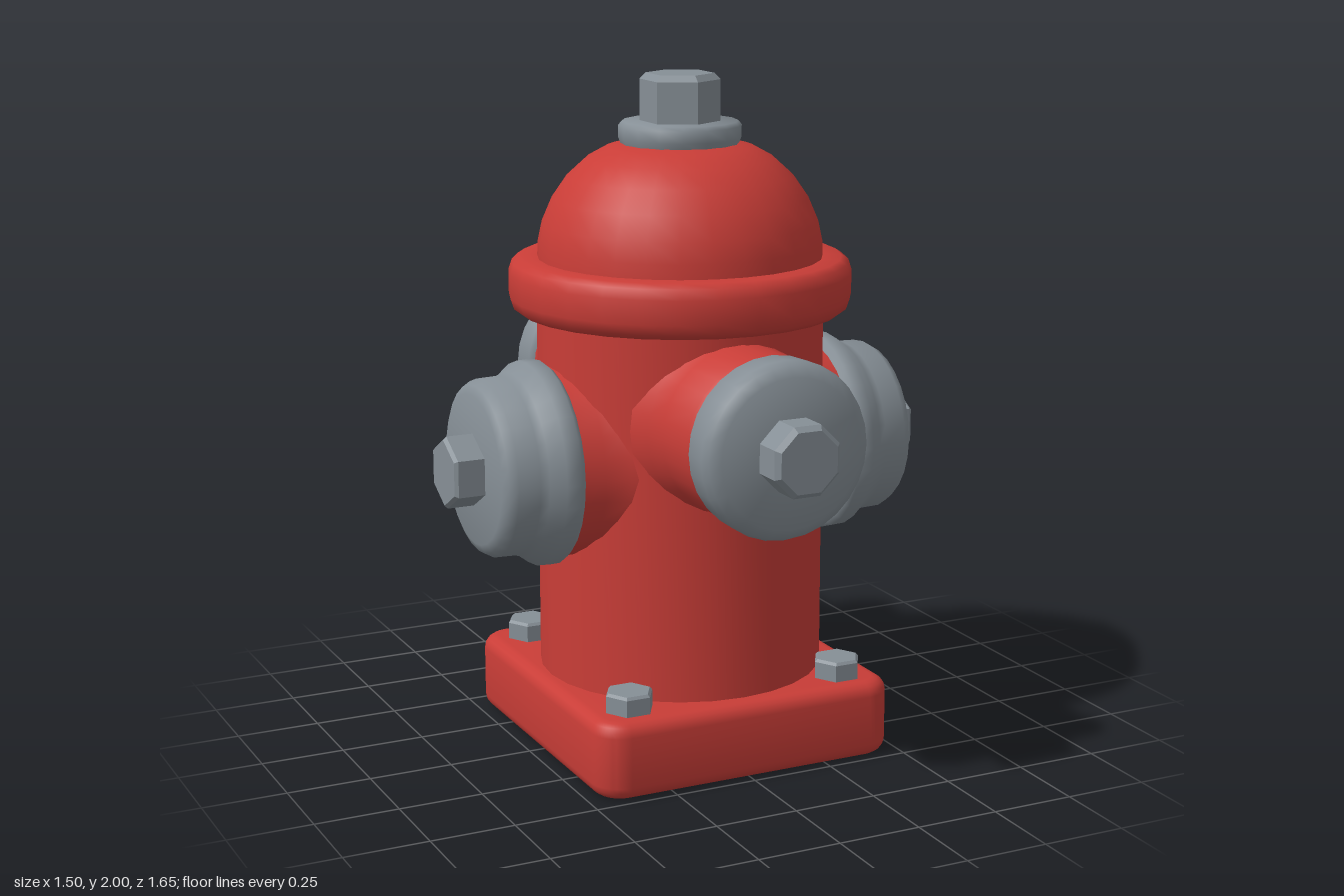
import * as THREE from 'three';
import { toCreasedNormals } from 'three/addons/utils/BufferGeometryUtils.js';

const red = new THREE.MeshStandardMaterial({ color: 0xc93d37 });
red.name = 'red paint';
const grey = new THREE.MeshStandardMaterial({ color: 0x868f96 });
grey.name = 'grey metal';

function mesh(name, geometry, material) {
  const m = new THREE.Mesh(geometry, material);
  m.name = name;
  return m;
}

// Turned part around y from [radius, height] pairs, bottom to top
function turned(name, pairs, material, sides = 28, crease = 0.9) {
  const points = pairs.map(([r, y]) => new THREE.Vector2(r, y));
  const start = sides === 8 ? Math.PI / 8 : 0;
  const g = new THREE.LatheGeometry(points, sides, start);
  return mesh(name, toCreasedNormals(g, crease), material);
}

// Faceted nut with a small chamfer on its outer end
function nut(name, r, y0, y1, sides = 6, bevel = 0.015) {
  return turned(name, [[r, y0], [r, y1 - bevel], [r - bevel, y1], [0, y1]], grey, sides, 0.5);
}

// Outlet pointing to +z, turned about y by angle
function outlet(name, angle, y, shift, parts) {
  const axis = new THREE.Group();
  axis.add(...parts);
  axis.rotation.x = Math.PI / 2;
  axis.position.set(shift, y, 0);
  const group = new THREE.Group();
  group.name = name;
  group.add(axis);
  group.rotation.y = angle;
  return group;
}

function smallOutlet(name, angle) {
  return outlet(name, angle, 1.03, -0.012, [
    turned('outletNeck', [[0.29, 0.3], [0.265, 0.36], [0.247, 0.42], [0.245, 0.57], [0.235, 0.585]], red),
    turned('outletCap', [[0, 0.58], [0.235, 0.58], [0.253, 0.6], [0.255, 0.68], [0.245, 0.705],
      [0.215, 0.725], [0, 0.725]], grey),
    nut('outletNut', 0.108, 0.7, 0.825, 8),
  ]);
}

function largeOutlet(name, angle) {
  return outlet(name, angle, 0.89, 0, [
    turned('outletNeck', [[0.335, 0.24], [0.305, 0.3], [0.285, 0.37], [0.28, 0.45]], red),
    turned('outletCap', [[0, 0.435], [0.29, 0.435], [0.302, 0.45], [0.3, 0.495], [0.27, 0.535],
      [0.262, 0.56], [0.26, 0.625], [0.245, 0.65], [0.22, 0.662], [0, 0.662]], grey),
    nut('outletNut', 0.107, 0.64, 0.752, 6, 0.01),
  ]);
}

// Square base plate with rounded corners and edges
function basePlate() {
  const bevel = 0.04, hx = 0.475 - bevel, hz = 0.49 - bevel, r = 0.05;
  const s = new THREE.Shape();
  s.absarc(hx - r, hz - r, r, 0, Math.PI / 2);
  s.absarc(-hx + r, hz - r, r, Math.PI / 2, Math.PI);
  s.absarc(-hx + r, -hz + r, r, Math.PI, Math.PI * 1.5);
  s.absarc(hx - r, -hz + r, r, Math.PI * 1.5, Math.PI * 2);
  const g = new THREE.ExtrudeGeometry(s, {
    depth: 0.23 - 2 * bevel, bevelSize: bevel, bevelThickness: bevel, bevelSegments: 4, curveSegments: 6,
  });
  g.translate(0, 0, bevel);
  g.rotateX(-Math.PI / 2);
  return mesh('basePlate', toCreasedNormals(g, 0.7), red);
}

export function createModel() {
  const model = new THREE.Group();
  model.name = 'hydrant';

  model.add(basePlate());

  // Barrel, rim and bonnet
  model.add(turned('barrel', [[0.425, 0.2], [0.423, 1.32]], red));
  model.add(turned('rim', [[0.4, 1.31], [0.475, 1.31], [0.495, 1.325], [0.505, 1.355], [0.505, 1.425],
    [0.495, 1.455], [0.475, 1.468], [0.4, 1.468]], red));
  model.add(turned('bonnet', [[0.42, 1.46], [0.418, 1.51], [0.405, 1.57], [0.375, 1.64], [0.33, 1.705],
    [0.275, 1.755], [0.215, 1.788], [0.15, 1.803], [0, 1.806]], red));

  // Operating nut on top
  model.add(turned('topWasher', [[0.17, 1.79], [0.18, 1.815], [0.18, 1.85], [0.17, 1.862], [0, 1.862]], grey, 16));
  model.add(nut('topNut', 0.118, 1.85, 2.0, 6, 0.018));

  // Four outlets
  model.add(smallOutlet('frontOutlet', 0), smallOutlet('backOutlet', Math.PI));
  model.add(largeOutlet('leftOutlet', Math.PI / 2), largeOutlet('rightOutlet', -Math.PI / 2));

  // Base bolts
  for (const x of [-1, 1]) {
    for (const z of [-1, 1]) {
      const bolt = nut('baseBolt', 0.073, 0.2, 0.288, 6, 0.008);
      bolt.rotation.y = Math.PI / 6;
      bolt.position.set(0.34 * x, 0, 0.368 * z);
      model.add(bolt);
    }
  }
  return model;
}
